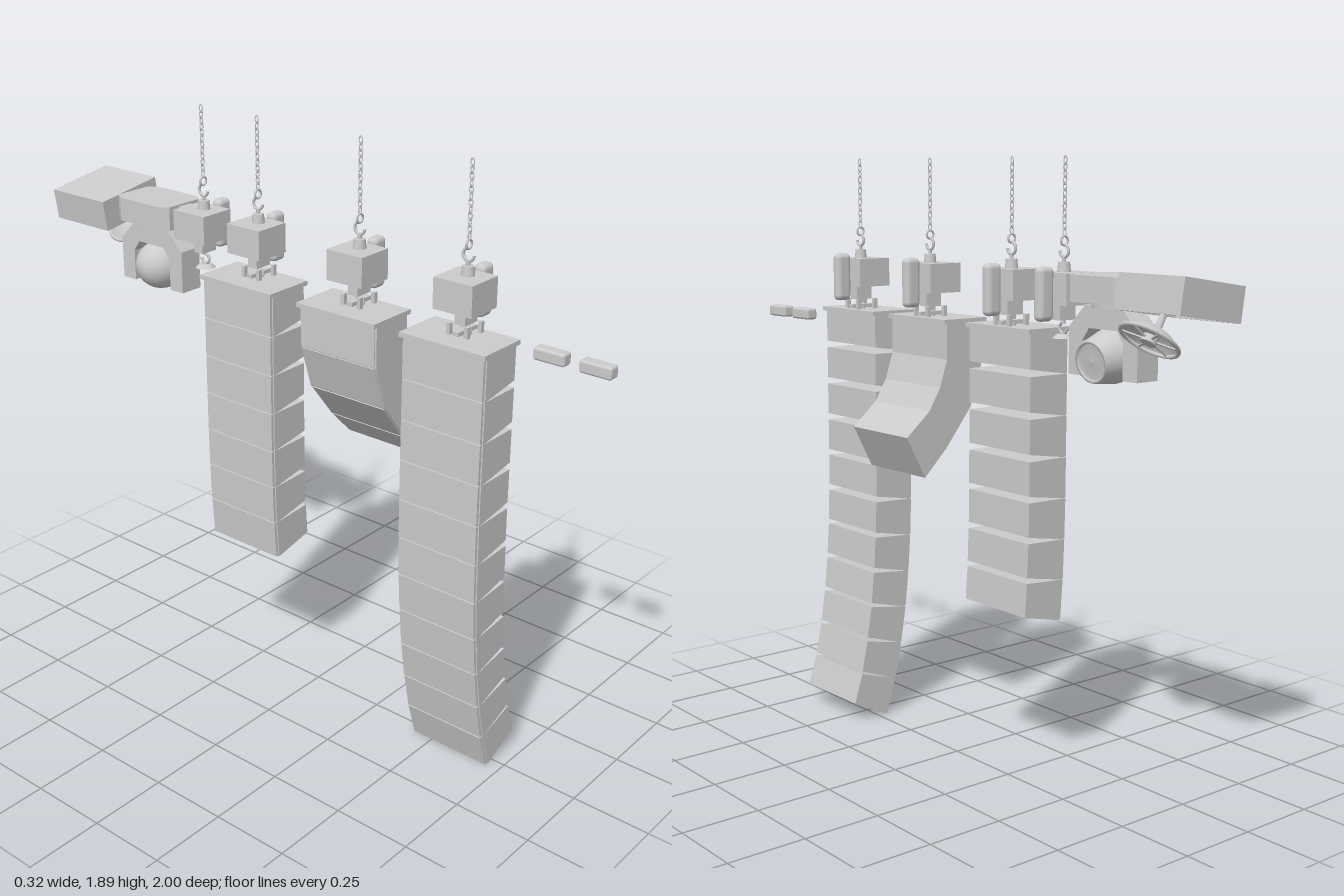
import * as THREE from 'three';
import { RoundedBoxGeometry } from 'three/addons/geometries/RoundedBoxGeometry.js';

const mat = new THREE.MeshStandardMaterial({ color: 0xcccccc });
const matThin = new THREE.MeshStandardMaterial({ color: 0xcccccc, side: THREE.DoubleSide });
const AXIS_X = -0.045; // lifting line of every hoist

function add(parent, name, geo, x = 0, y = 0, z = 0, material = mat) {
  const m = new THREE.Mesh(geo, material);
  m.name = name;
  m.position.set(x, y, z);
  parent.add(m);
  return m;
}
const box = (w, h, d) => new THREE.BoxGeometry(w, h, d);
const cyl = (r1, r2, h, n = 24) => new THREE.CylinderGeometry(r1, r2, h, n);

function group(parent, name, x = 0, y = 0, z = 0) {
  const g = new THREE.Group();
  g.name = name;
  g.position.set(x, y, z);
  parent.add(g);
  return g;
}

// Profile in the x-y plane, extruded symmetrically along z
function prism(points, width) {
  const shape = new THREE.Shape(points.map(p => new THREE.Vector2(p[0], p[1])));
  const geo = new THREE.ExtrudeGeometry(shape, { depth: width, bevelEnabled: false });
  return geo.translate(0, 0, -width / 2);
}

// Rigging frame with lugs on top of an array
function addFrame(parent) {
  add(parent, 'riggingFrame', box(0.17, 0.014, 0.29), -0.072, 1.392, 0);
  for (const x of [-0.078, -0.012])
    for (const z of [-0.03, 0.03]) add(parent, 'frameLug', box(0.014, 0.035, 0.012), x, 1.415, z);
  add(parent, 'frameBar', box(0.09, 0.012, 0.02), AXIS_X, 1.408, 0);
}

// Hanging column of wedge cabinets: flat tops, bottoms rising to the rear
function addArray(parent, name, z, tilts) {
  const g = group(parent, name, 0, 0, z);
  addFrame(g);
  const h = 0.126, depth = 0.14, rear = 0.104;
  let x = -0.139, y = 1.385;
  for (const deg of tilts) {
    const a = THREE.MathUtils.degToRad(deg);
    const cabinet = group(g, 'speakerCabinet', x, y, 0);
    cabinet.rotation.z = a;
    add(cabinet, 'cabinetBody', prism([[0, 0], [0, -h], [depth, -rear], [depth, 0]], 0.28));
    add(cabinet, 'frontGrille', box(0.009, h - 0.003, 0.272), -0.0045, -h / 2, 0);
    x += h * Math.sin(a);
    y -= h * Math.cos(a);
  }
}

// Strongly curved short column, given as front/rear joints
function addCurvedArray(parent, z) {
  const g = group(parent, 'curvedSpeakerArray', 0, 0, z);
  addFrame(g);
  const joints = [
    [-0.14, 1.385, 0, 1.385], [-0.14, 1.26, 0, 1.275], [-0.095, 1.12, 0.028, 1.19],
    [0, 1.0, 0.07, 1.12], [0.088, 0.912, 0.157, 1.045],
  ];
  for (let i = 0; i < joints.length - 1; i++) {
    const [a, b, c, d] = joints[i], [e, f, p, q] = joints[i + 1];
    add(g, 'curvedCabinet', prism([[a, b], [e, f], [p, q], [c, d]], 0.284));
    const len = Math.hypot(e - a, f - b);
    const grille = add(g, 'frontGrille', box(0.006, len - 0.006, 0.272), (a + e) / 2, (b + f) / 2, 0);
    grille.rotation.z = Math.atan2(e - a, b - f);
  }
}

// C-shaped hook lying in the y-z plane
function addHook(parent, y, r, flip) {
  const hook = add(parent, 'hook', new THREE.TorusGeometry(r, 0.0045, 8, 20, Math.PI * 1.5), AXIS_X, y, 0);
  hook.rotation.set(0, Math.PI / 2, 0);
  hook.rotateZ(flip ? Math.PI * 0.5 : -Math.PI);
}

// Electric chain hoist with hooks and chain
function addHoist(parent, z) {
  const g = group(parent, 'chainHoist', 0, 0, z);
  add(g, 'hoistBody', box(0.12, 0.092, 0.13), -0.055, 1.521, 0);
  add(g, 'chainContainer', new RoundedBoxGeometry(0.055, 0.155, 0.038, 3, 0.016), 0.032, 1.507, 0);
  add(g, 'topNeck', cyl(0.017, 0.02, 0.03), AXIS_X, 1.58, 0);
  add(g, 'topStem', cyl(0.006, 0.006, 0.02, 10), AXIS_X, 1.6, 0);
  addHook(g, 1.626, 0.018, false);
  const eye = add(g, 'hookEye', new THREE.TorusGeometry(0.013, 0.0035, 8, 18), AXIS_X, 1.655, 0);
  eye.name = 'hookEye';
  add(g, 'bottomNeck', box(0.06, 0.045, 0.036), AXIS_X, 1.453, 0);
  add(g, 'bottomStem', cyl(0.006, 0.006, 0.02, 10), AXIS_X, 1.428, 0);
  addHook(g, 1.407, 0.016, true);

  // Links alternate by a quarter turn
  const link = new THREE.TorusGeometry(0.0062, 0.0016, 6, 12).scale(1, 1.9, 1);
  for (let i = 0; i < 12; i++) {
    const l = add(g, 'chainLink', link, AXIS_X, 1.679 + i * 0.0182, 0);
    l.rotation.y = (i % 2) * Math.PI / 2;
  }
  return g;
}

// Moving head lamp in a fork
function addMovingHead(parent) {
  const g = group(parent, 'movingHead', AXIS_X, 0, -0.63);
  const c = [[-0.085, -0.085], [-0.065, -0.115], [0.065, -0.115], [0.085, -0.085]];
  const base = prism([...c, ...c.map(([x, y]) => [-x, -y])], 0.075);
  add(g, 'lampBase', base.rotateX(Math.PI / 2), 0, 1.531, 0);
  for (const s of [-1, 1]) {
    add(g, 'baseClamp', box(0.05, 0.035, 0.03), 0, 1.545, s * 0.125);
  }
  add(g, 'panBearing', cyl(0.06, 0.06, 0.02), 0, 1.488, 0);

  // Fork outline, drawn in z-y
  const half = [[0.07, 1.485], [0.135, 1.42], [0.135, 1.285], [0.08, 1.285], [0.08, 1.385], [0.055, 1.42]];
  const fork = prism([...half, ...half.map(([x, y]) => [-x, y]).reverse()], 0.08);
  add(g, 'fork', fork.rotateY(Math.PI / 2));

  // Head: domed rear, barrel and lens towards +x
  const profile = [];
  for (let i = 0; i <= 10; i++) {
    const a = (i / 10) * Math.PI / 2;
    profile.push(new THREE.Vector2(0.078 * Math.sin(a), -0.085 * Math.cos(a)));
  }
  profile.push(new THREE.Vector2(0.078, 0.01), new THREE.Vector2(0.06, 0.085),
    new THREE.Vector2(0.053, 0.085), new THREE.Vector2(0.05, 0.075), new THREE.Vector2(0, 0.082));
  const head = add(g, 'lampHead', new THREE.LatheGeometry(profile, 36), 0, 1.345, 0, matThin);
  head.rotation.z = -Math.PI / 2 - 0.15;
  const pivot = add(g, 'tiltAxle', cyl(0.02, 0.02, 0.2), 0, 1.345, 0);
  pivot.rotation.x = Math.PI / 2;
}

// Tilted flood housing with a dish reflector beneath
function addFlood(parent) {
  const g = group(parent, 'floodLight', -0.04, 1.52, -0.88);
  const housing = group(g, 'housing');
  housing.rotation.z = 0.15;
  add(housing, 'housingTop', box(0.235, 0.065, 0.236), 0, 0.017, 0);
  for (const s of [-1, 1]) {
    add(housing, 'housingRim', box(0.235, 0.035, 0.012), 0, -0.032, s * 0.112);
    add(housing, 'housingRim', box(0.012, 0.035, 0.212), s * 0.1115, -0.032, 0);
  }
  add(housing, 'lampPanel', box(0.2, 0.008, 0.2), 0, -0.018, 0);

  const dish = group(g, 'dish', 0.105, -0.105, 0.005);
  dish.rotation.z = 0.62;
  const bowl = [[0, 0.038], [0.03, 0.034], [0.058, 0.022], [0.083, 0]].map(p => new THREE.Vector2(...p));
  add(dish, 'reflectorBowl', new THREE.LatheGeometry(bowl, 36), 0, 0, 0, matThin);
  const rim = add(dish, 'reflectorRim', new THREE.TorusGeometry(0.083, 0.006, 8, 40));
  rim.rotation.x = Math.PI / 2;
  for (let i = 0; i < 3; i++) {
    const spoke = add(dish, 'spoke', box(0.16, 0.004, 0.006));
    spoke.rotation.y = i * Math.PI / 3;
  }
  add(dish, 'lampCore', cyl(0.022, 0.022, 0.02), 0, 0, 0);
  const arm = add(g, 'dishArm', cyl(0.01, 0.01, 0.08, 12), 0.065, -0.05, 0);
  arm.rotation.z = 0.5;
}

export function createModel() {
  const root = new THREE.Group();
  root.name = 'stageRig';

  // Three speaker columns
  const bend = [0, 0, 0, 0, 1, 2, 4, 6, 9, 12, 17.5];
  addArray(root, 'longSpeakerArray', 0.568, bend);
  addCurvedArray(root, 0.192);
  addArray(root, 'shortSpeakerArray', -0.2, bend.slice(0, 7));

  // Hoists, the last one with a pipe clamp
  for (const z of [0.57, 0.192, -0.2]) addHoist(root, z);
  const last = addHoist(root, -0.428);
  add(last, 'clampFoot', cyl(0.018, 0.032, 0.012), AXIS_X, 1.384, 0);

  addMovingHead(root);
  addFlood(root);

  // Two small rounded lamps at the front end
  for (const z of [0.95, 0.805])
    add(root, 'smallLamp', new RoundedBoxGeometry(0.04, 0.038, 0.1, 3, 0.008), 0.03, 1.37, z);
  return root;
}
